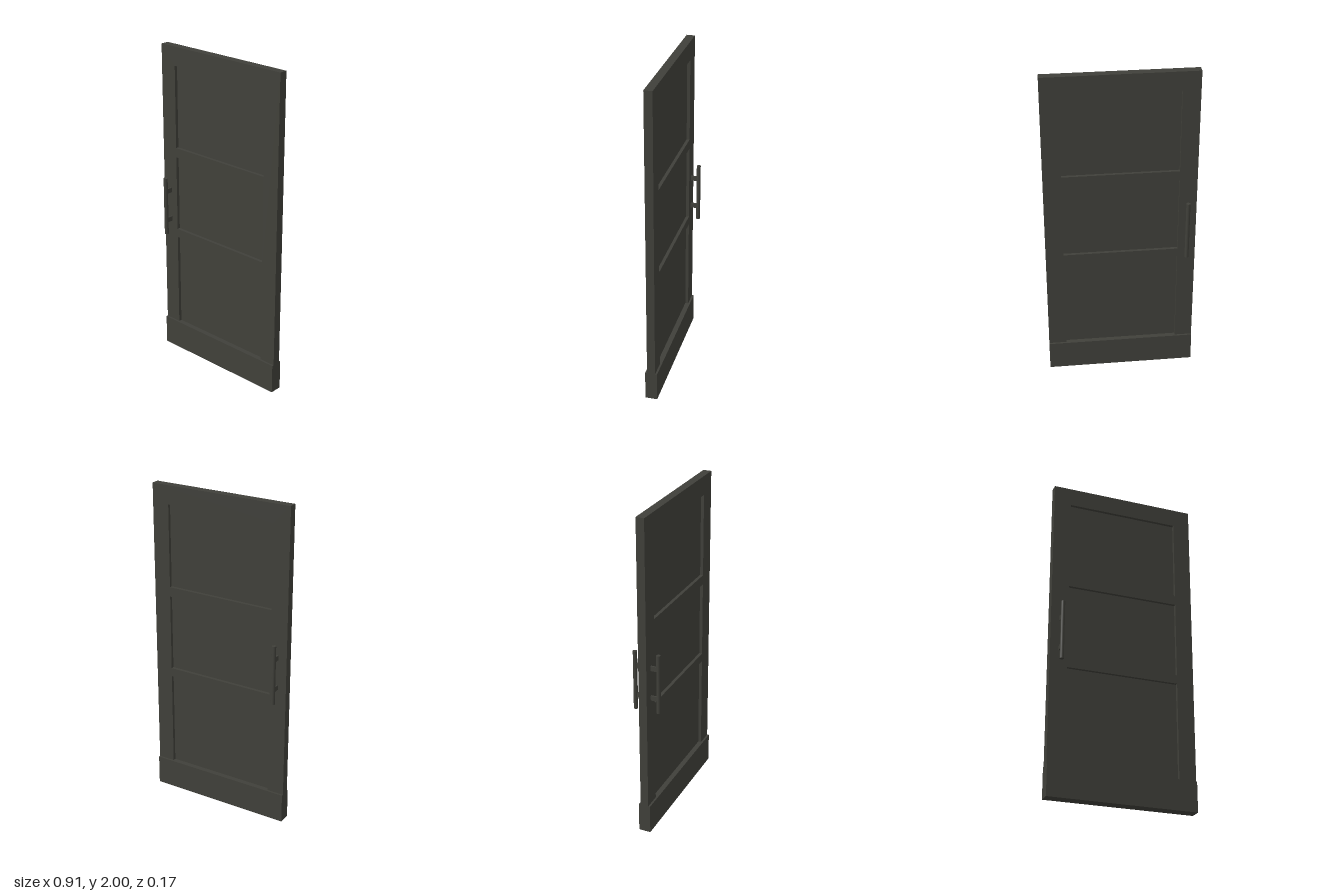
import * as THREE from 'three';

export function createModel() {
  const door = new THREE.Group();
  door.name = 'door';
  const paint = new THREE.MeshStandardMaterial({ color: 0x40403a });
  paint.name = 'dark grey';

  const add = (name, geometry, x, y, z) => {
    const mesh = new THREE.Mesh(geometry, paint);
    mesh.name = name;
    mesh.position.set(x, y, z);
    door.add(mesh);
  };

  const halfWidth = 0.453, frameDepth = 0.05, openHalf = 0.347;
  const openings = [[0.185, 0.785], [0.84, 1.315], [1.375, 1.885]];

  // Frame with three openings
  const rect = (path, x, y0, y1) => path.moveTo(-x, y0).lineTo(x, y0).lineTo(x, y1).lineTo(-x, y1).closePath();
  const outline = new THREE.Shape();
  rect(outline, halfWidth, 0.1, 2);
  for (const [y0, y1] of openings) {
    const hole = new THREE.Path();
    rect(hole, openHalf, y0, y1);
    outline.holes.push(hole);
  }
  add('frame', new THREE.ExtrudeGeometry(outline, { depth: frameDepth, bevelEnabled: false }), 0, 0, -frameDepth / 2);

  // Recessed panels, seen from both sides
  for (const [y0, y1] of openings) {
    add('panel', new THREE.BoxGeometry(openHalf * 2, y1 - y0, 0.012), 0, (y0 + y1) / 2, 0);
  }

  // Thicker kick board wrapping the bottom
  add('kickBoard', new THREE.BoxGeometry(halfWidth * 2, 0.185, 0.074), 0, 0.0925, 0);

  // Pull handle with two brackets on each face
  for (const side of [1, -1]) {
    add('handleBar', new THREE.CylinderGeometry(0.0125, 0.0125, 0.37, 16), -0.395, 0.996, side * 0.073);
    for (const y of [0.9, 1.091]) {
      add('handleBracket', new THREE.BoxGeometry(0.01, 0.03, 0.05), -0.395, y, side * 0.047);
    }
  }
  return door;
}
